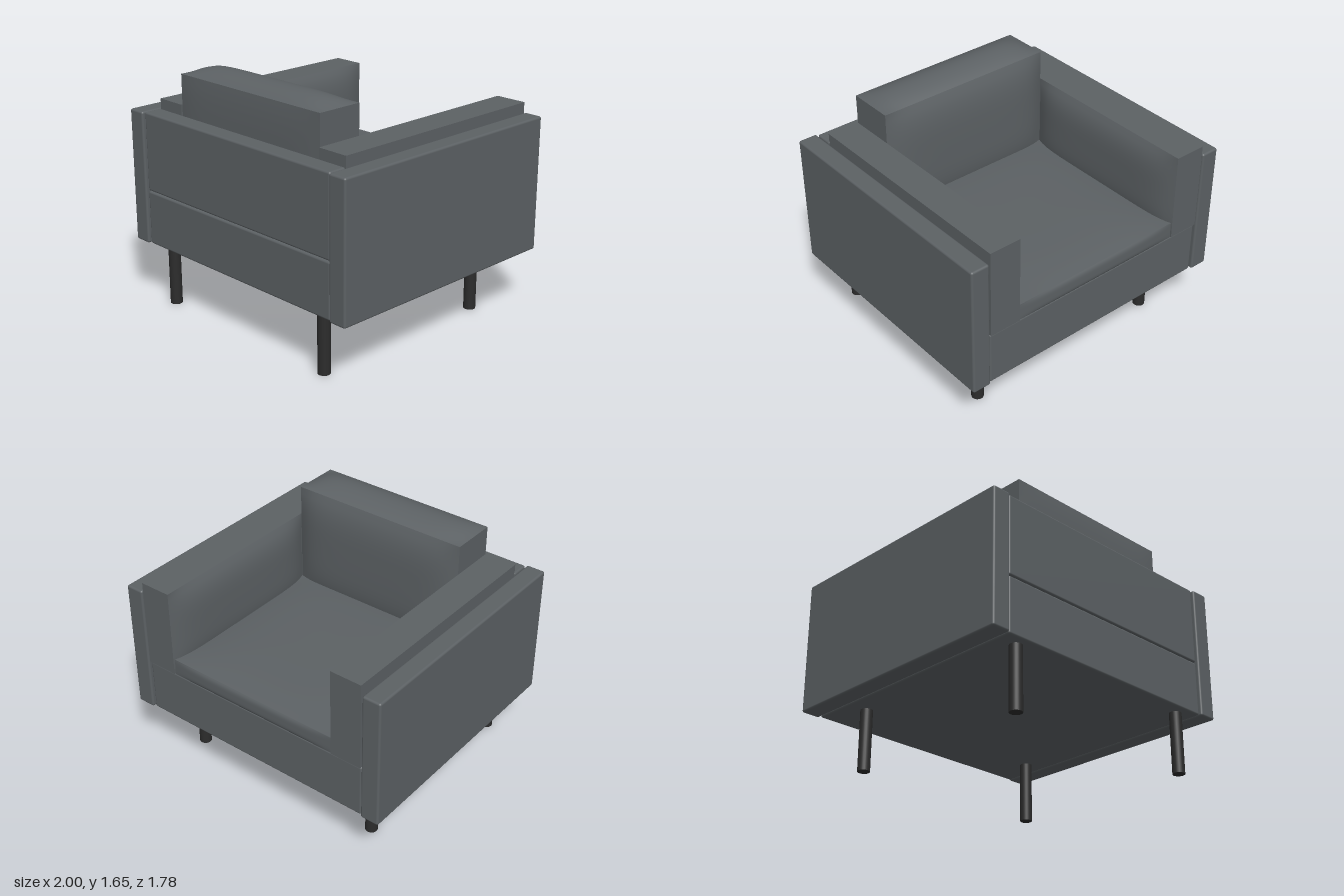
import * as THREE from 'three';
import { RoundedBoxGeometry } from 'three/addons/geometries/RoundedBoxGeometry.js';

const fabric = new THREE.MeshStandardMaterial({ color: 0x5c6164 });
fabric.name = 'charcoal fabric';
const legPaint = new THREE.MeshStandardMaterial({ color: 0x2c2c2c });
legPaint.name = 'black legs';

// Upholstered panel given by its extents, with softened edges
function panel(name, [x0, x1], [y0, y1], [z0, z1], radius = 0.014) {
  const mesh = new THREE.Mesh(new RoundedBoxGeometry(x1 - x0, y1 - y0, z1 - z0, 3, radius), fabric);
  mesh.position.set((x0 + x1) / 2, (y0 + y1) / 2, (z0 + z1) / 2);
  mesh.name = name;
  return mesh;
}

// Cushion with straight seams whose faces swell outward.
// swell: [-x, +x, -y, +y, -z, +z] amounts; power: how full the swelling is along x, y, z
function cushion(name, [x0, x1], [y0, y1], [z0, z1], swell, power) {
  const half = [(x1 - x0) / 2, (y1 - y0) / 2, (z1 - z0) / 2];
  const geo = new THREE.BoxGeometry(2, 2, 2, 24, 16, 24);
  const pos = geo.attributes.position;
  for (let i = 0; i < pos.count; i++) {
    const t = [pos.getX(i), pos.getY(i), pos.getZ(i)];
    const full = t.map((v, k) => 1 - Math.abs(v) ** power[k]);
    const p = t.map((v, k) => {
      const amount = swell[2 * k + (v > 0 ? 1 : 0)];
      return v * (half[k] + amount * full[(k + 1) % 3] * full[(k + 2) % 3]);
    });
    pos.setXYZ(i, ...p);
  }
  geo.computeVertexNormals();
  const mesh = new THREE.Mesh(geo, fabric);
  mesh.position.set((x0 + x1) / 2, (y0 + y1) / 2, (z0 + z1) / 2);
  mesh.name = name;
  return mesh;
}

export function createModel() {
  const chair = new THREE.Group();
  chair.name = 'armchair';

  // Frame: base and backrest panel
  chair.add(panel('base', [-0.863, 0.863], [0.415, 0.787], [-0.875, 0.875]));
  chair.add(panel('backPanel', [-0.863, 0.863], [0.791, 1.33], [0.745, 0.875]));

  // Seat and back cushions; the seat opens toward -z
  chair.add(cushion('seatCushion', [-0.64, 0.64], [0.785, 0.9], [-0.875, 0.5],
    [0, 0, 0, 0.03, 0.012, 0], [4, 4, 4]));
  chair.add(cushion('backCushion', [-0.64, 0.64], [0.8, 1.6], [0.415, 0.735],
    [0, 0, 0, 0.055, 0.053, 0.014], [7, 4, 2]));

  for (const side of [-1, 1]) {
    const span = (a, b) => (side > 0 ? [a, b] : [-b, -a]);
    const label = side > 0 ? 'left' : 'right';

    // Arm: outer panel, swollen inner cushion and its flat rear end
    chair.add(panel(label + 'ArmPanel', span(0.87, 1), [0.415, 1.33], [-0.89, 0.89]));
    const inward = side > 0 ? [0.05, 0, 0, 0, 0, 0] : [0, 0.05, 0, 0, 0, 0];
    chair.add(cushion(label + 'ArmCushion', span(0.64, 0.86), [0.79, 1.397], [-0.885, 0.41],
      inward, [4, 4, 6]));
    chair.add(cushion(label + 'ArmCushionRear', span(0.64, 0.86), [0.79, 1.397], [0.41, 0.744],
      [0, 0, 0, 0, 0, 0], [4, 4, 4]));

    // Legs
    for (const [end, z] of [['rear', 0.787], ['front', -0.57]]) {
      const leg = new THREE.Mesh(new THREE.CylinderGeometry(0.041, 0.041, 0.42, 24), legPaint);
      leg.position.set(side * 0.723, 0.21, z);
      leg.name = end + label[0].toUpperCase() + label.slice(1) + 'Leg';
      chair.add(leg);
    }
  }
  return chair;
}
